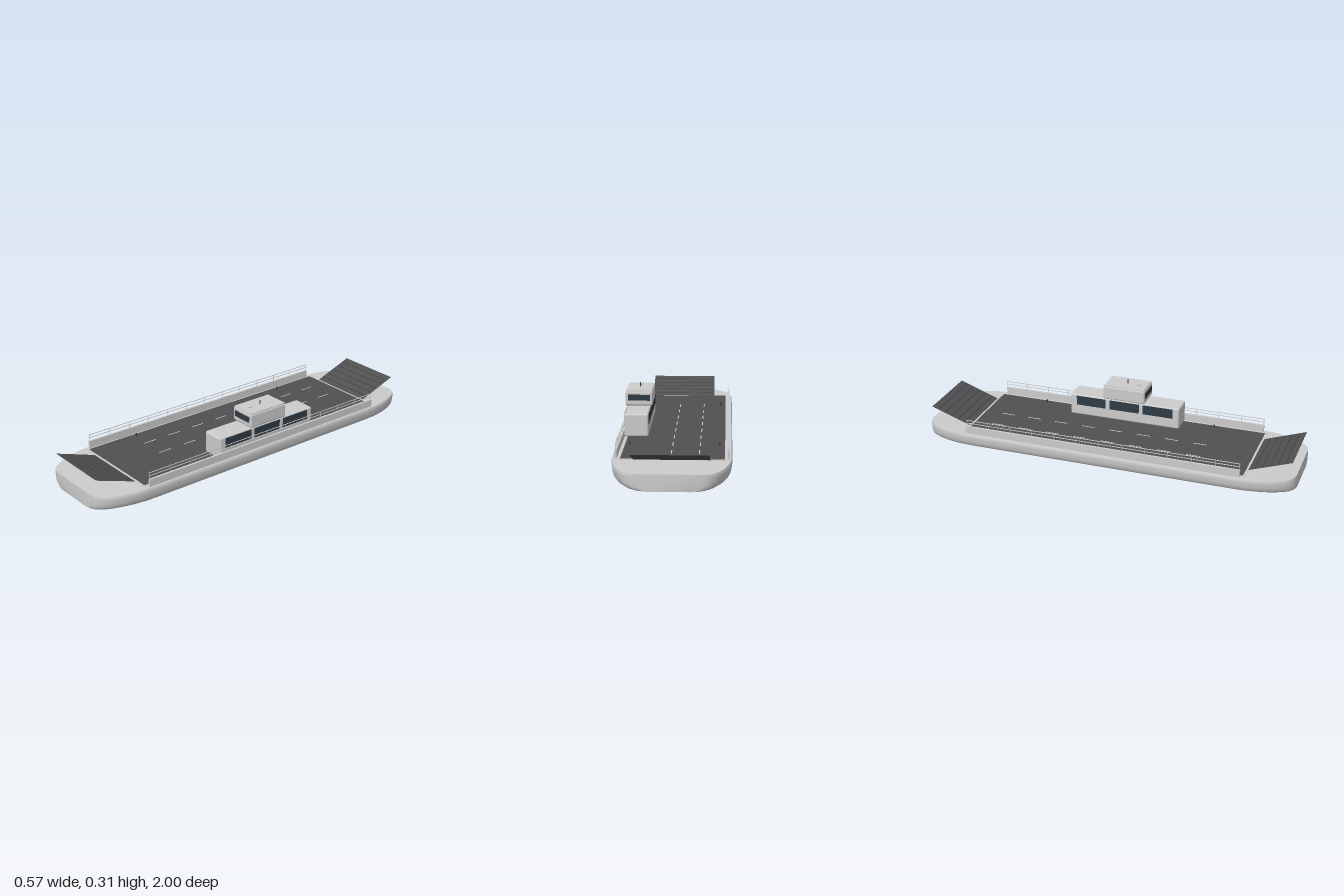
import * as THREE from 'three';
import { toCreasedNormals } from 'three/addons/utils/BufferGeometryUtils.js';
import { RoundedBoxGeometry } from 'three/addons/geometries/RoundedBoxGeometry.js';

const grey = new THREE.MeshStandardMaterial({ color: 0xcccccc });
const deckMat = new THREE.MeshStandardMaterial({ color: 0x505052 });
const rampMat = new THREE.MeshStandardMaterial({ color: 0x505052, side: THREE.DoubleSide });
const ribMat = new THREE.MeshStandardMaterial({ color: 0x3c3c3e, side: THREE.DoubleSide });
const glassMat = new THREE.MeshStandardMaterial({ color: 0x2f3b45 });
const darkMat = new THREE.MeshStandardMaterial({ color: 0x3a3d40 });

function add(parent, name, geometry, material, x = 0, y = 0, z = 0) {
  const mesh = new THREE.Mesh(geometry, material);
  mesh.name = name;
  mesh.position.set(x, y, z);
  parent.add(mesh);
  return mesh;
}
const box = (w, h, d) => new THREE.BoxGeometry(w, h, d);

// Hull lofted from one cross-section, scaled by the half width along the length
function hullGeometry() {
  const half = [[1, 0.15], [0.992, 0.18], [0.975, 0.205], [0.95, 0.224], [0.915, 0.243],
    [0.87, 0.26], [0.82, 0.273], [0.76, 0.281], [0.7, 0.283]];
  const stations = [...half, ...half.map(([z, w]) => [-z, w]).reverse()];
  const side = [[0.7, 0], [0.8, 0.002], [0.88, 0.007], [0.94, 0.016], [0.975, 0.028],
    [0.99, 0.045], [1, 0.065], [1, 0.08], [0.985, 0.087]];
  const ring = [...side, ...side.map(([x, y]) => [-x, y]).reverse()];
  const n = ring.length, pos = [], idx = [];
  for (const [z, w] of stations) {
    const sheer = 1 - 0.07 * THREE.MathUtils.smoothstep(Math.abs(z), 0.8, 1);
    for (const [x, y] of ring) pos.push(x * w, y * sheer, z);
  }
  for (let s = 0; s < stations.length - 1; s++) {
    for (let i = 0; i < n; i++) {
      const a = s * n + i, b = s * n + (i + 1) % n;
      idx.push(a, a + n, b, b, a + n, b + n);
    }
  }
  // end caps
  const last = (stations.length - 1) * n;
  for (let i = 1; i < n - 1; i++) idx.push(0, i, i + 1, last, last + i + 1, last + i);
  const g = new THREE.BufferGeometry();
  g.setAttribute('position', new THREE.Float32BufferAttribute(pos, 3));
  g.setIndex(idx);
  return toCreasedNormals(g, 0.7);
}

// Raised loading ramp hinged at the deck end, with cross ribs
function ramp(name, end) {
  const g = new THREE.Group();
  g.name = name;
  const run = 0.22, rise = 0.078, length = Math.hypot(run, rise);
  const flat = (w, d) => new THREE.PlaneGeometry(w, d).rotateX(-Math.PI / 2);
  add(g, 'rampPlate', flat(0.36, length), rampMat, 0, 0, length / 2);
  for (let i = 0; i < 5; i++) {
    add(g, 'rampRib', flat(0.35, 0.005), ribMat, 0, 0.001, 0.035 + i * 0.04);
  }
  g.rotation.order = 'YXZ';
  g.rotation.set(-Math.atan2(rise, run), end > 0 ? 0 : Math.PI, 0);
  g.position.set(0, 0.087, end * 0.762);
  return g;
}

// Bulwark with a two-bar railing on top
function bulwark(name, x) {
  const g = new THREE.Group();
  g.name = name;
  add(g, 'bulwarkWall', box(0.012, 0.042, 1.48), grey, x, 0.105, 0);
  for (const y of [0.144, 0.16]) add(g, 'railBar', box(0.003, 0.003, 1.48), grey, x, y, 0);
  const post = new THREE.CylinderGeometry(0.0015, 0.0015, 0.036, 6);
  for (let i = 0; i <= 12; i++) add(g, 'railPost', post, grey, x, 0.143, -0.738 + i * 0.123);
  return g;
}

// Deckhouse with wheelhouse, windows and roof gear
function deckhouse() {
  const g = new THREE.Group();
  g.name = 'deckhouse';
  const x = 0.2;
  add(g, 'house', new RoundedBoxGeometry(0.122, 0.118, 0.612, 3, 0.01), grey, x, 0.146, 0);
  for (const s of [-1, 1]) {
    for (const z of [-0.188, 0, 0.188]) {
      add(g, 'houseWindow', box(0.003, 0.052, 0.166), glassMat, x + s * 0.061, 0.172, z);
    }
    add(g, 'wheelhouseWindow', box(0.114, 0.031, 0.003), glassMat, x, 0.25, s * 0.116);
  }
  add(g, 'wheelhouse', new RoundedBoxGeometry(0.142, 0.076, 0.232, 3, 0.01), grey, x, 0.245, 0);
  add(g, 'roof', box(0.134, 0.006, 0.222), grey, x, 0.283, 0);
  const dome = add(g, 'radarDome', new THREE.SphereGeometry(0.012, 20, 12), grey, x, 0.291, 0.065);
  dome.scale.y = 0.5;
  add(g, 'mast', new THREE.CylinderGeometry(0.0025, 0.0025, 0.026, 10), darkMat, x, 0.296, 0);
  return g;
}

export function createModel() {
  const model = new THREE.Group();
  model.name = 'carFerry';
  add(model, 'hull', hullGeometry(), grey);

  // Car deck with a pale edge strip
  add(model, 'deckEdge', box(0.506, 0.004, 1.526), grey, -0.003, 0.087, 0);
  add(model, 'carDeck', box(0.49, 0.004, 1.504), deckMat, -0.003, 0.088, 0);

  // Dashed lane markings
  for (const x of [-0.127, 0.007]) {
    for (let i = 0; i < 8; i++) {
      add(model, 'laneDash', box(0.005, 0.002, 0.072), grey, x, 0.0901, -0.62 + i * 0.1545);
    }
  }

  model.add(ramp('frontRamp', 1), ramp('backRamp', -1));
  model.add(bulwark('leftBulwark', 0.265), bulwark('rightBulwark', -0.265));

  // Mooring bollards
  const bollard = new THREE.CylinderGeometry(0.004, 0.004, 0.019, 12);
  for (const x of [-0.221, 0.219]) {
    for (const z of [-0.48, 0.48]) add(model, 'bollard', bollard, darkMat, x, 0.0975, z);
  }

  model.add(deckhouse());
  return model;
}
